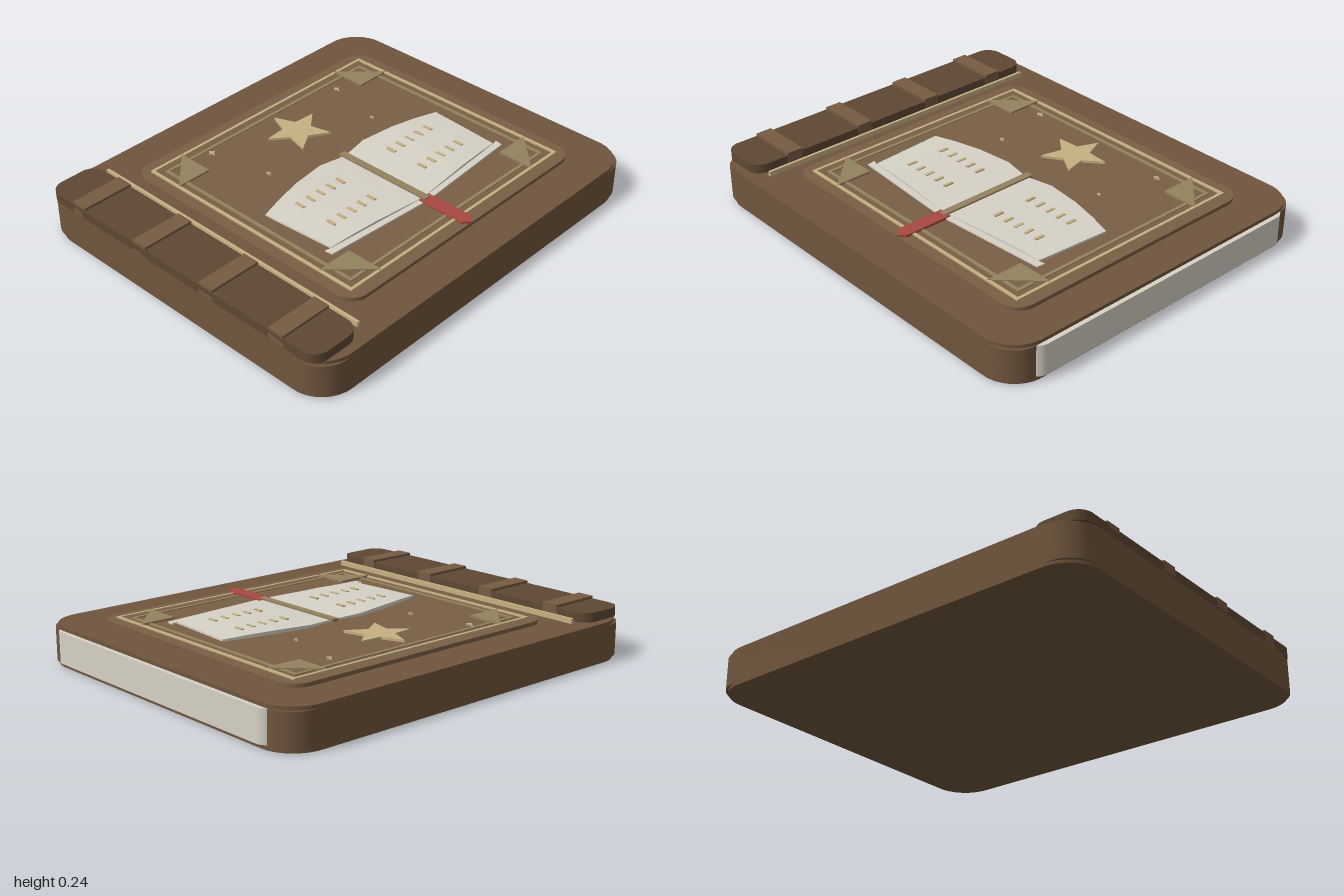
import * as THREE from 'three';
import { toCreasedNormals } from 'three/addons/utils/BufferGeometryUtils.js';

const CX = 0.08; // centre line of the cover artwork
const mat = (color) => new THREE.MeshStandardMaterial({ color, side: THREE.DoubleSide });

export function createModel() {
  const model = new THREE.Group();
  const M = {
    cover: mat(0x70553d), panel: mat(0x7a5f45), spine: mat(0x5f4833), band: mat(0x765b43),
    gold: mat(0xc6b082), dullGold: mat(0x94825f), paper: mat(0xd6d2c6), red: mat(0xa84840),
  };

  const add = (name, geometry, material, parent = model) => {
    const mesh = new THREE.Mesh(geometry, material);
    mesh.name = name;
    parent.add(mesh);
    return mesh;
  };
  const group = (name) => {
    const g = new THREE.Group();
    g.name = name;
    model.add(g);
    return g;
  };
  // Flat plate: the shape is drawn in (x, z) and fills y0..y1
  const plate = (shape, y0, y1) => {
    const g = new THREE.ExtrudeGeometry(shape, { depth: y1 - y0, bevelEnabled: false, curveSegments: 8 });
    g.rotateX(Math.PI / 2).translate(0, y1, 0);
    return toCreasedNormals(g, 0.6);
  };
  const poly = (pts) => new THREE.Shape(pts.map(([x, z]) => new THREE.Vector2(x, z)));
  const roundRect = (x0, x1, hz, r) => {
    const s = new THREE.Shape();
    s.moveTo(x0 + r, -hz);
    s.lineTo(x1 - r, -hz);
    s.absarc(x1 - r, -hz + r, r, -Math.PI / 2, 0);
    s.lineTo(x1, hz - r);
    s.absarc(x1 - r, hz - r, r, 0, Math.PI / 2);
    s.lineTo(x0 + r, hz);
    s.absarc(x0 + r, hz - r, r, Math.PI / 2, Math.PI);
    s.lineTo(x0, -hz + r);
    s.absarc(x0 + r, -hz + r, r, Math.PI, Math.PI * 1.5);
    return s;
  };
  const starShape = (x, z, points, outer, inner) => poly(Array.from({ length: points * 2 }, (_, i) => {
    const a = -Math.PI / 2 + (i * Math.PI) / points, r = i % 2 ? inner : outer;
    return [x + r * Math.cos(a), z + r * Math.sin(a)];
  }));
  const box = (x0, x1, y0, y1, z0, z1) => new THREE.BoxGeometry(x1 - x0, y1 - y0, z1 - z0)
    .translate((x0 + x1) / 2, (y0 + y1) / 2, (z0 + z1) / 2);

  // Closed book: two covers, core and page block
  add('backCover', plate(roundRect(-1, 0.98, 0.84, 0.16), 0, 0.014), M.cover);
  add('bookCore', plate(roundRect(-1, 0.98, 0.84, 0.13), 0.014, 0.166), M.cover);
  add('frontCover', plate(roundRect(-1, 0.98, 0.84, 0.16), 0.166, 0.182), M.cover);
  add('pageBlock', plate(roundRect(0.6, 1, 0.73, 0.06), 0.022, 0.166), M.paper);

  // Raised spine with four bands and a gold line beside it
  add('spine', plate(roundRect(-1, -0.75, 0.8, 0.07), 0.18, 0.225), M.spine);
  for (const z of [-0.595, -0.205, 0.195, 0.59]) {
    add('spineBand', box(-1, -0.748, 0.18, 0.237, z - 0.04, z + 0.04), M.band);
  }
  add('hingeLine', box(-0.722, -0.708, 0.18, 0.205, -0.755, 0.755), M.gold);

  // Cover panel with two line frames
  add('panel', plate(roundRect(CX - 0.73, CX + 0.73, 0.66, 0.09), 0.18, 0.199), M.panel);
  const frame = (name, hx, hz, w, top, material) => {
    const rect = (a, b) => [[CX - a, -b], [CX + a, -b], [CX + a, b], [CX - a, b]];
    const s = poly(rect(hx, hz));
    s.holes.push(poly(rect(hx - w, hz - w)));
    add(name, plate(s, 0.198, top), material);
  };
  frame('outerFrame', 0.675, 0.605, 0.014, 0.206, M.gold);
  frame('innerFrame', 0.63, 0.56, 0.016, 0.203, M.dullGold);

  // Triangular corner pieces
  for (const sx of [-1, 1]) for (const sz of [-1, 1]) {
    add('cornerPiece', plate(poly([[CX + sx * 0.495, sz * 0.602], [CX + sx * 0.495, sz * 0.423],
      [CX + sx * 0.67, sz * 0.423]]), 0.198, 0.208), M.dullGold);
  }

  // Large star and four small sparkles
  add('star', plate(starShape(CX, -0.362, 5, 0.153, 0.068), 0.198, 0.211), M.gold);
  for (const [x, z, r] of [[-0.312, -0.515, 0.02], [0.47, -0.485, 0.017], [-0.25, -0.215, 0.014], [0.4, -0.195, 0.012]]) {
    add('sparkle', plate(starShape(x, z, 4, r, r * 0.45), 0.198, 0.207), M.gold);
  }

  // Open book emblem: each section is [distance from fold, back z, front z, height]
  const sections = [[0, -0.063, 0.4, 0.206], [0.14, -0.085, 0.39, 0.212],
    [0.31, -0.062, 0.376, 0.216], [0.44, -0.033, 0.366, 0.214], [0.555, -0.003, 0.357, 0.208]];
  const pageGeometry = (sx) => {
    const pos = [], index = [];
    for (const [d, zb, zf, y] of sections) {
      const x = CX + sx * d;
      pos.push(x, 0.198, zb, x, y, zb, x - sx * d * 0.045, y, zf, x - sx * d * 0.045, 0.198, zf);
    }
    for (let i = 0; i < sections.length - 1; i++) for (let k = 0; k < 3; k++) {
      const a = i * 4 + k, b = a + 4;
      if (sx > 0) index.push(a, a + 1, b, b, a + 1, b + 1);
      else index.push(a, b, a + 1, b, b + 1, a + 1);
    }
    const e = (sections.length - 1) * 4;
    if (sx > 0) index.push(e, e + 1, e + 2, e, e + 2, e + 3);
    else index.push(e, e + 2, e + 1, e, e + 3, e + 2);
    const g = new THREE.BufferGeometry();
    g.setAttribute('position', new THREE.Float32BufferAttribute(pos, 3));
    g.setIndex(index);
    return toCreasedNormals(g, 0.5);
  };
  const emblem = group('openBook');
  for (const sx of [-1, 1]) {
    add('openPage', pageGeometry(sx), M.paper, emblem);
    // lower page edge
    add('pageEdge', plate(poly([[CX, 0.397], [CX + sx * 0.53, 0.357], [CX + sx * 0.56, 0.35],
      [CX + sx * 0.555, 0.388], [CX, 0.427]]), 0.198, 0.205), M.paper, emblem);
    // short marks standing for writing
    for (const z of [0.065, 0.247]) for (let i = 0; i < 5; i++) {
      const x = CX + sx * (0.166 + i * 0.0622);
      add('writingMark', box(x - 0.007, x + 0.007, 0.2, 0.219, z - 0.024, z + 0.024), M.gold, emblem);
    }
  }
  add('bookFold', box(CX - 0.017, CX + 0.017, 0.198, 0.214, -0.085, 0.42), M.dullGold, emblem);

  // Ribbon bookmark with a pointed end
  add('ribbon', plate(poly([[CX - 0.032, 0.4], [CX + 0.032, 0.4], [CX + 0.032, 0.635],
    [CX, 0.662], [CX - 0.032, 0.635]]), 0.198, 0.21), M.red);

  return model;
}
